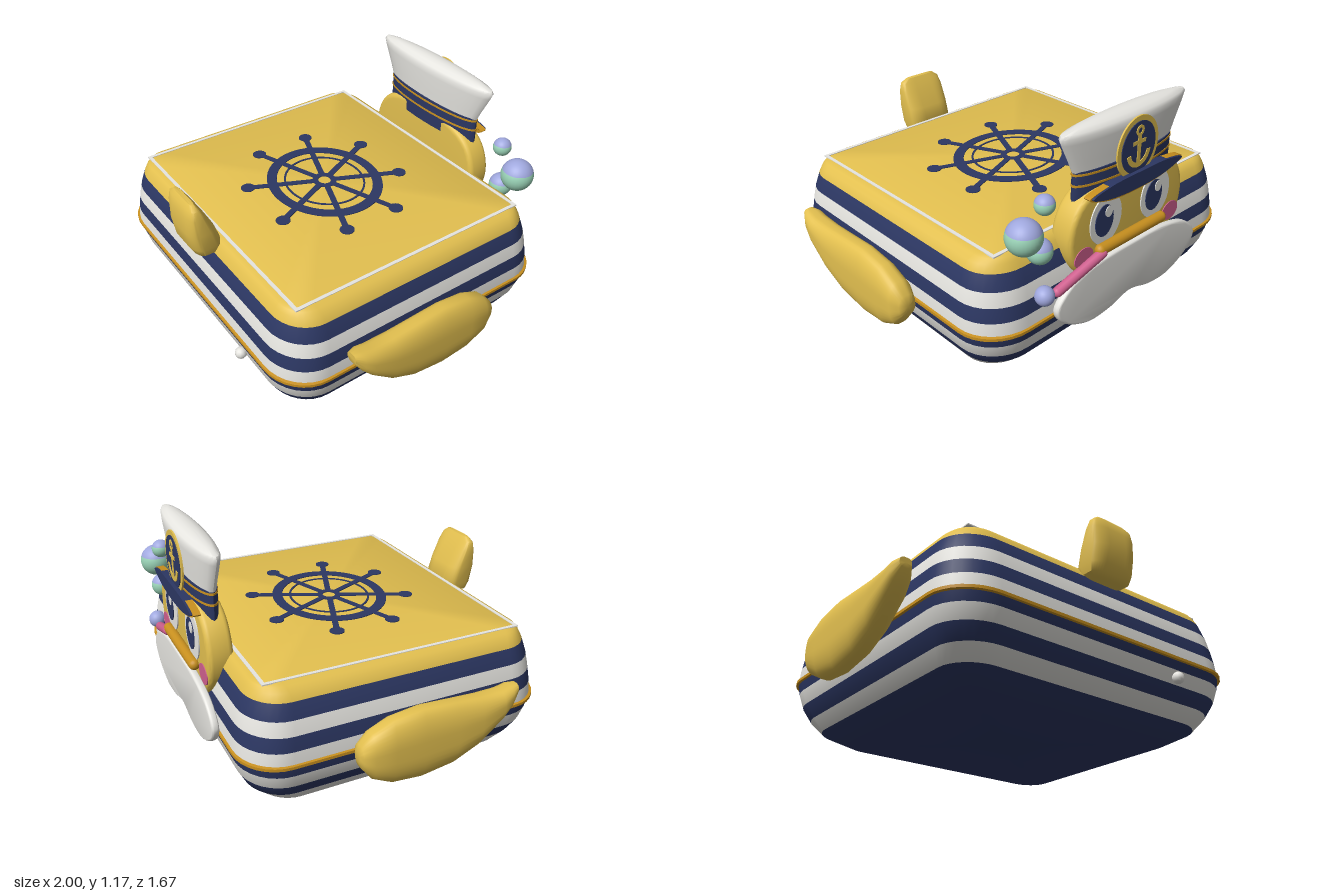
import * as THREE from 'three';
import { toCreasedNormals } from 'three/addons/utils/BufferGeometryUtils.js';

const mat = (name, color) => Object.assign(new THREE.MeshStandardMaterial({ color }), { name });
const yellow = mat('duck yellow', 0xe2bf4f);
const navy = mat('navy', 0x2c3763);
const white = mat('white', 0xf0efea);
const gold = mat('gold trim', 0xc8901f);
const pink = mat('pink', 0xd0608f);
const teal = mat('bubble green', 0x9bd4b8);
const violet = mat('bubble violet', 0xa0a8de);

// Rounded rectangle in the xz plane; f = 1 makes an ellipse
function ring(y, hx, hz, f = 1, cx = 0, cz = 0) {
  const pts = [];
  [[1, 1], [-1, 1], [-1, -1], [1, -1]].forEach(([sx, sz], q) => {
    for (let i = 0; i <= 8; i++) {
      const a = (q + i / 8) * Math.PI / 2;
      pts.push([cx + hx * (sx * (1 - f) + f * Math.cos(a)), y, cz + hz * (sz * (1 - f) + f * Math.sin(a))]);
    }
  });
  return pts;
}

// Skin between rings (upwards), capped; bands gives a material index per step
function loft(rings, bands, crease = 0.6) {
  const n = rings[0].length, pos = rings.flat(2), idx = [];
  const g = new THREE.BufferGeometry();
  const cap = (k, top) => {
    const c = pos.length / 3, o = k * n;
    const mid = [0, 1, 2].map(d => rings[k].reduce((s, p) => s + p[d], 0) / n);
    pos.push(...mid);
    for (let j = 0; j < n; j++) {
      const a = o + j, b = o + (j + 1) % n;
      idx.push(c, ...(top ? [b, a] : [a, b]));
    }
  };
  const mark = (start, m) => bands && g.addGroup(start, idx.length - start, m);
  cap(0, false);
  mark(0, bands?.[0]);
  for (let k = 0; k < rings.length - 1; k++) {
    const start = idx.length;
    for (let j = 0; j < n; j++) {
      const a = k * n + j, b = k * n + (j + 1) % n;
      idx.push(a, a + n, b, b, a + n, b + n);
    }
    mark(start, bands?.[k]);
  }
  const start = idx.length;
  cap(rings.length - 1, true);
  mark(start, bands?.at(-1));
  g.setAttribute('position', new THREE.Float32BufferAttribute(pos, 3));
  g.setIndex(idx);
  return toCreasedNormals(g, crease);
}

const ellipse = (x, y, rx, ry = rx) => new THREE.Shape().absellipse(x, y, rx, ry, 0, Math.PI * 2);
const blob = pts => new THREE.Shape(new THREE.CatmullRomCurve3(
  pts.map(([x, y]) => new THREE.Vector3(x, y, 0)), true).getPoints(72).map(p => new THREE.Vector2(p.x, p.y)));
function box(w, h, x = 0, y = 0) {
  return new THREE.Shape([[-1, -1], [1, -1], [1, 1], [-1, 1]].map(([a, b]) => new THREE.Vector2(x + a * w / 2, y + b * h / 2)));
}
function annulus(rx, ry, ix, iy) {
  const s = ellipse(0, 0, rx, ry);
  s.holes.push(new THREE.Path().absellipse(0, 0, ix, iy, 0, Math.PI * 2));
  return s;
}

export function createModel() {
  const model = new THREE.Group();
  const add = (name, geo, m, parent = model) => {
    const mesh = new THREE.Mesh(geo, m);
    mesh.name = name;
    parent.add(mesh);
    return mesh;
  };
  const group = name => {
    const g = new THREE.Group();
    g.name = name;
    model.add(g);
    return g;
  };
  // Upright plate growing from z = back towards -z
  const plate = (name, shapes, depth, back, m, bevel = 0, parent = model) => {
    const g = new THREE.ExtrudeGeometry(shapes, {
      depth: depth - 2 * bevel, bevelEnabled: bevel > 0, bevelThickness: bevel,
      bevelSize: bevel, bevelOffset: -bevel, bevelSegments: 4, curveSegments: 32,
    });
    g.translate(0, 0, back - depth + bevel);
    return add(name, toCreasedNormals(g, 0.6), m, parent);
  };

  // Striped body: y, half width, half depth, corner fraction
  const body = [[0, .63, .545, .2], [.06, .745, .655, .24], [.123, .79, .715, .25], [.193, .83, .75, .26],
    [.263, .85, .768, .26], [.309, .858, .776, .26], [.312, .868, .786, .26], [.326, .868, .786, .26],
    [.329, .858, .776, .26], [.39, .855, .77, .26], [.46, .845, .76, .26], [.53, .83, .745, .25],
    [.605, .805, .72, .23], [.64, .785, .70, .2], [.66, .76, .685, .17], [.67, .735, .665, .14]];
  // 0 navy, 1 white, 2 gold, 3 yellow
  add('stripedBody', loft(body.map(([y, x, z, f]) => ring(y, x, z, f)),
    [0, 1, 0, 1, 0, 2, 2, 2, 1, 0, 1, 0, 3, 3, 3]), [navy, white, gold, yellow]);

  // Thin border and ship wheel lying on the lid
  const lid = group('lidDecoration');
  const flat = (name, shapes, m, y) => {
    const g = new THREE.ExtrudeGeometry(shapes, { depth: .006, bevelEnabled: false, curveSegments: 32 });
    add(name, g.rotateX(-Math.PI / 2).translate(0, y, 0), m, lid);
  };
  const border = box(1.46, 1.32);
  border.holes.push(box(1.425, 1.285));
  flat('lidBorder', border, white, .667);
  const wheel = [annulus(.325, .29, .27, .24), annulus(.225, .205, .215, .195), annulus(.065, .06, .035, .032)];
  for (let i = 0; i < 8; i++) {
    const a = (i + .5) * Math.PI / 4, c = Math.cos(a), s = Math.sin(a);
    const at = (r, w) => new THREE.Vector2(r * c - w * s, (r * s + w * c) * .9);
    wheel.push(new THREE.Shape([at(.05, -.016), at(.43, -.016), at(.43, .016), at(.05, .016)]));
    wheel.push(ellipse(.437 * c, .393 * s, .036));
  }
  flat('shipWheel', wheel, navy, .668);

  // Wings: z, lower y, upper y, half thickness
  const wing = [[-.31, .31, .36, .025], [-.30, .28, .39, .045], [-.25, .215, .44, .065], [-.15, .165, .485, .07],
    [0, .15, .505, .07], [.17, .175, .495, .07], [.3, .235, .487, .068], [.42, .335, .487, .062],
    [.47, .39, .50, .052], [.51, .45, .50, .03]];
  for (const s of [1, -1]) {
    const g = loft(wing.map(([z, lo, hi, t]) => ring(z, t, (hi - lo) / 2, .8, s * .93, -(lo + hi) / 2)), null, .9);
    add(s > 0 ? 'leftWing' : 'rightWing', g.rotateX(Math.PI / 2), yellow);
  }

  // Upturned tail: y, centre z, half depth, half width
  const tail = [[.595, .75, .03, .09], [.61, .74, .06, .12], [.65, .74, .08, .13], [.74, .762, .072, .132],
    [.83, .782, .047, .13], [.875, .79, .028, .12], [.898, .79, .012, .09]];
  add('tail', loft(tail.map(([y, z, d, w]) => ring(y, w, d, .6, 0, z)), null, .8), yellow);

  // Small stopper on the hull
  const stopper = add('stopper', new THREE.SphereGeometry(.03, 10, 8), white);
  stopper.position.set(.415, .22, .775);

  // Head
  plate('head', blob([[.40, .63], [.375, .75], [.31, .83], [.18, .88], [0, .89], [-.18, .88], [-.31, .83],
    [-.375, .75], [-.40, .63], [-.36, .5], [-.22, .39], [0, .355], [.22, .39], [.36, .5]]), .125, -.662, yellow, .025);

  // Eyes and cheeks
  const face = group('face');
  for (const s of [1, -1]) {
    const x = s * .175;
    plate('eyeWhite', ellipse(x, .69, .105, .125), .008, -.785, white, 0, face);
    plate('pupil', ellipse(x + .015, .69, .06, .08), .004, -.793, navy, 0, face);
    plate('eyeGlint', ellipse(x - .01, .73, .024, .028), .003, -.797, white, 0, face);
    plate('cheek', ellipse(s * .31, .545, .06, .05), .006, -.785, pink, 0, face);
  }

  // Beak and white bib
  const beak = add('beak', new THREE.CapsuleGeometry(.028, .43, 6, 16), gold);
  beak.rotation.z = Math.PI / 2;
  beak.position.set(0, .553, -.803);
  plate('bib', blob([[-.5, .36], [-.42, .45], [-.25, .5], [0, .51], [.25, .5], [.42, .45], [.5, .36], [.46, .28],
    [.3, .2], [.15, .2], [0, .235], [-.15, .2], [-.3, .2], [-.46, .28]]), .037, -.784, white, .012);

  // Pink stick held in the beak
  const stick = new THREE.LineCurve3(new THREE.Vector3(.2, .545, -.815), new THREE.Vector3(.49, .44, -.79));
  const len = stick.getLength();
  const handle = add('pinkStick', new THREE.CapsuleGeometry(.024, len - .03, 6, 14), pink);
  handle.position.copy(stick.getPoint(.5));
  handle.quaternion.setFromUnitVectors(new THREE.Vector3(0, 1, 0), stick.getTangent(0));

  // Cap
  const cap = group('sailorCap');
  const hoop = (y, x, z) => ring(y, x, z, 1, 0, -.724);
  add('capBand', loft([hoop(.81, .332, .069), hoop(.955, .332, .069)]), navy, cap);
  for (const y of [.882, .935]) {
    add('bandTrim', loft([hoop(y, .336, .072), hoop(y + .01, .336, .072)]), gold, cap);
  }
  add('capCrown', loft([hoop(.95, .335, .06), hoop(1.0, .357, .063), hoop(1.1, .407, .07), hoop(1.13, .42, .07),
    hoop(1.145, .412, .062), hoop(1.158, .33, .045), hoop(1.166, .15, .02)], null, .9), white, cap);
  const visor = d => blob([[.31 + d, .85], [.2, .875], [0, .88], [-.2, .875], [-.31 - d, .85],
    [-.2, .815 - d], [0, .8 - d], [.2, .815 - d]]);
  plate('visorEdge', visor(.012), .035, -.783, gold, 0, cap);
  plate('visor', visor(0), .045, -.783, navy, 0, cap);

  // Round anchor badge
  const badge = group('anchorBadge');
  plate('badgeRim', ellipse(0, 0, .14, .15), .008, -.797, yellow, 0, badge);
  plate('badgeField', ellipse(0, 0, .115, .125), .004, -.805, navy, 0, badge);
  const hook = new THREE.Shape();
  hook.absarc(0, -.015, .08, Math.PI * 1.05, Math.PI * 1.95, false);
  hook.absarc(0, -.015, .056, Math.PI * 1.95, Math.PI * 1.05, true);
  const anchor = [annulus(.026, .026, .013, .013), box(.022, .15, 0, -.1), box(.085, .018, 0, -.055)];
  const top = plate('anchorStem', anchor, .003, -.809, yellow, 0, badge);
  top.position.y = .082;
  plate('anchorHook', hook, .003, -.809, yellow, 0, badge);
  badge.position.y = .993;

  // Two-tone soap bubbles: x, y, z, radius
  const bubbles = [[.515, .875, -.74, .047], [.635, .77, -.742, .083], [.54, .66, -.74, .06], [.55, .457, -.785, .046]];
  bubbles.forEach(([x, y, z, r], i) => {
    const b = group('bubble' + (i + 1));
    b.position.set(x, y, z);
    const split = i === 3 ? 2.4 : 1.2;
    add('bubbleTop', new THREE.SphereGeometry(r, 28, 12, 0, Math.PI * 2, 0, split), violet, b);
    add('bubbleBase', new THREE.SphereGeometry(r, 28, 12, 0, Math.PI * 2, split, Math.PI - split), teal, b);
  });
  return model;
}
